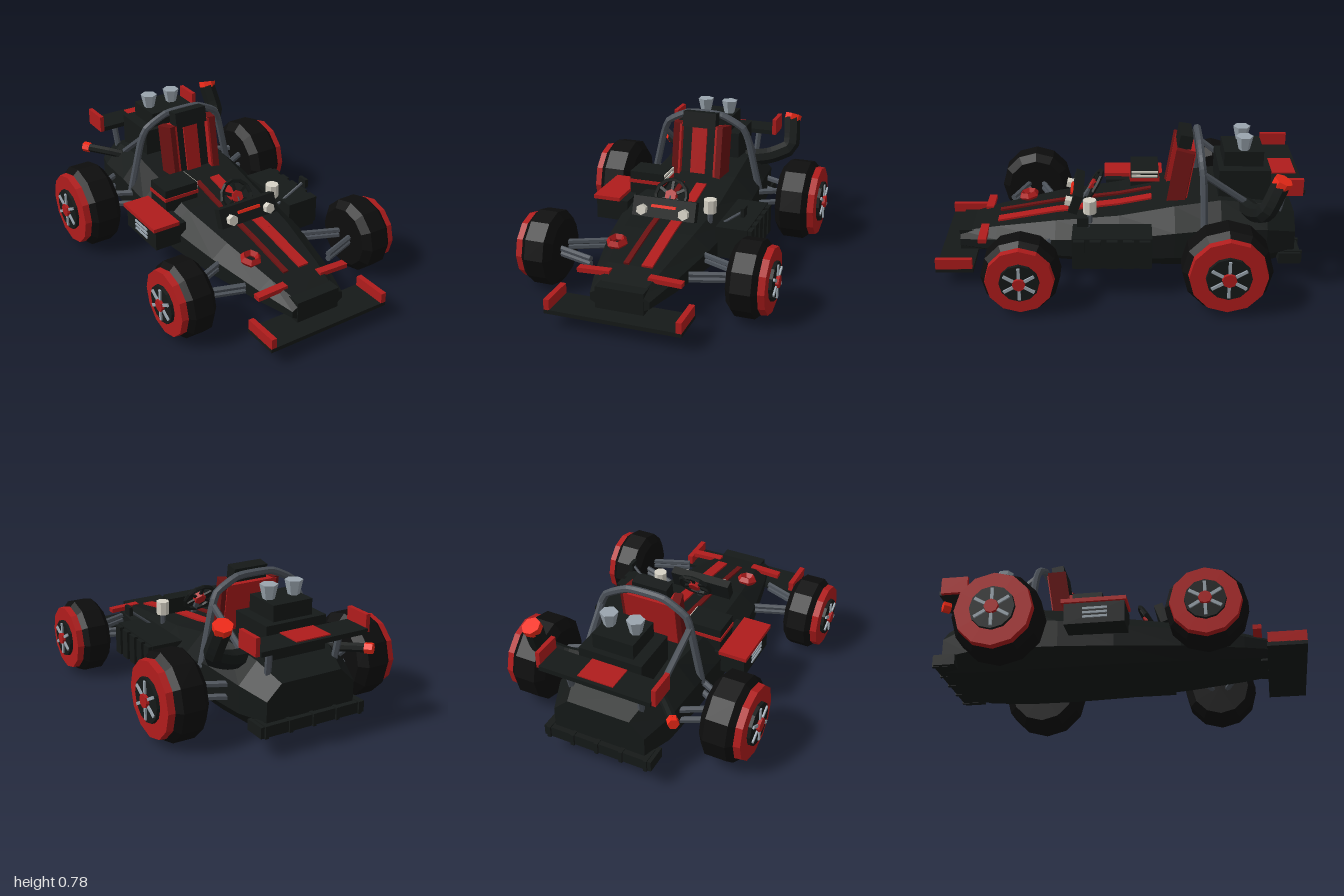
import * as THREE from 'three';

const mat = (color) => new THREE.MeshStandardMaterial({ color, flatShading: true });
const BLACK = mat(0x151918), TYRE = mat(0x0d0d0d), RED = mat(0xb01c1c), DARKRED = mat(0x6a1212);
const GLOW = mat(0xf02a18), STEEL = mat(0x4a5058), SILVER = mat(0x9aa5ae), CREAM = mat(0xd6d2c6);
const V = (p) => new THREE.Vector3(...p);

export function createModel() {
  const car = new THREE.Group();
  car.name = 'buggy';

  const add = (name, geo, m, pos = [0, 0, 0], rot = [0, 0, 0], parent = car) => {
    const mesh = new THREE.Mesh(geo, m);
    mesh.name = name;
    mesh.position.set(...pos);
    mesh.rotation.set(...rot);
    parent.add(mesh);
    return mesh;
  };
  // Box given by its x, y and z ranges
  const box = (name, m, [x0, x1], [y0, y1], [z0, z1], parent = car) =>
    add(name, new THREE.BoxGeometry(x1 - x0, y1 - y0, z1 - z0), m,
      [(x0 + x1) / 2, (y0 + y1) / 2, (z0 + z1) / 2], [0, 0, 0], parent);
  // Straight rod between two points
  const rod = (name, m, a, b, r0, r1 = r0, sides = 6) => {
    const d = V(b).sub(V(a));
    const mesh = add(name, new THREE.CylinderGeometry(r1, r0, d.length(), sides), m,
      V(a).add(V(b)).multiplyScalar(0.5).toArray());
    mesh.quaternion.setFromUnitVectors(new THREE.Vector3(0, 1, 0), d.normalize());
    return mesh;
  };
  const tube = (name, m, pts, r, segs = 14) => add(name, new THREE.TubeGeometry(
    new THREE.CatmullRomCurve3(pts.map(V), false, 'catmullrom', 0.25), segs, r, 7), m);

  // Body lofted from eight-sided sections: z, half width, bottom, top
  const sections = [
    [0.89, 0.16, 0.12, 0.205], [0.68, 0.22, 0.105, 0.255], [0.35, 0.29, 0.09, 0.315],
    [0, 0.335, 0.08, 0.36], [-0.3, 0.345, 0.075, 0.42], [-0.55, 0.34, 0.075, 0.455],
    [-0.8, 0.32, 0.085, 0.43], [-0.96, 0.26, 0.11, 0.36],
  ];
  const pos = [], idx = [];
  for (const [z, w, b, t] of sections) {
    const h = t - b;
    for (const [x, y] of [[-0.75, 0], [0.75, 0], [1, 0.25], [1, 0.68], [0.68, 1], [-0.68, 1], [-1, 0.68], [-1, 0.25]])
      pos.push(x * w, b + y * h, z);
  }
  const last = (sections.length - 1) * 8;
  for (let j = 0; j < 8; j++) {
    const k = (j + 1) % 8;
    for (let i = 0; i < last; i += 8) idx.push(i + j, i + 8 + j, i + k, i + k, i + 8 + j, i + 8 + k);
    if (j > 0 && j < 7) idx.push(0, j, k, last, last + k, last + j);
  }
  const bodyGeo = new THREE.BufferGeometry();
  bodyGeo.setAttribute('position', new THREE.Float32BufferAttribute(pos, 3));
  bodyGeo.setIndex(idx);
  bodyGeo.computeVertexNormals();
  add('body', bodyGeo, BLACK);

  // Stripes laid along the sloping deck
  const deck = [[0.68, 0.26], [0.35, 0.32], [0, 0.365], [-0.18, 0.4]];
  for (const [x, w, m] of [[0.065, 0.06, RED], [-0.05, 0.03, DARKRED]])
    for (let i = 0; i < 3; i++) {
      const [z0, y0] = deck[i], [z1, y1] = deck[i + 1];
      add('stripe', new THREE.BoxGeometry(w, 0.012, Math.hypot(z0 - z1, y1 - y0)), m,
        [x, (y0 + y1) / 2, (z0 + z1) / 2], [Math.atan2(y1 - y0, z0 - z1), 0, 0]);
    }
  const cap = add('fillerRing', new THREE.TorusGeometry(0.043, 0.018, 4, 6), RED, [-0.165, 0.3, 0.525], [-Math.PI / 2 + 0.17, 0, 0]);
  cap.scale.z = 1.4;

  // Wheels: faceted tyre, disc, hub with six spokes
  const wheel = (name, side, z, R, x0, x1) => {
    const g = new THREE.Group();
    g.name = name;
    g.position.set(side * (x0 + x1) / 2, R, z);
    g.rotation.y = side > 0 ? 0 : Math.PI;
    const h = (x1 - x0) / 2, turn = [0, 0, -Math.PI / 2];
    const profile = [[0, -h], [R * 0.8, -h], [R, -h * 0.6], [R, h * 0.6], [R * 0.84, h], [0, h]];
    add('tyre', new THREE.LatheGeometry(profile.map((p) => new THREE.Vector2(...p)), 12), TYRE, [0, 0, 0], turn, g);
    const disc = (n, r, from, to, m, s = 12) =>
      add(n, new THREE.CylinderGeometry(r, r * 1.02, to - from, s), m, [h + (from + to) / 2, 0, 0], turn, g);
    disc('rim', R * 0.86, -0.01, 0.028, RED);
    disc('hub', R * 0.5, 0.02, 0.045, BLACK);
    disc('hubCap', R * 0.16, 0.04, 0.062, RED, 8);
    for (let i = 0; i < 6; i++) {
      const a = (i * Math.PI) / 3;
      add('spoke', new THREE.BoxGeometry(0.014, R * 0.28, 0.016), SILVER,
        [h + 0.047, Math.cos(a) * R * 0.3, Math.sin(a) * R * 0.3], [a, 0, 0], g);
    }
    car.add(g);
  };

  for (const s of [-1, 1]) {
    wheel('frontWheel', s, 0.51, 0.207, 0.477, 0.655);
    wheel('rearWheel', s, -0.56, 0.236, 0.457, 0.66);
    // Suspension arms
    for (const y of [0.2, 0.23]) {
      rod('frontArm', STEEL, [s * 0.27, y, 0.38], [s * 0.52, y - 0.005, 0.48], 0.016);
      rod('frontArm', STEEL, [s * 0.27, y, 0.63], [s * 0.52, y - 0.005, 0.54], 0.016);
    }
    for (const y of [0.22, 0.29]) {
      rod('rearArm', STEEL, [s * 0.29, y, -0.71], [s * 0.5, y, -0.6], 0.018);
      rod('rearArm', STEEL, [s * 0.29, y, -0.42], [s * 0.5, y, -0.53], 0.018);
    }
    // Wing end plates, nose fins and wing struts
    box('frontEndPlate', RED, [s * 0.35 - 0.015, s * 0.35 + 0.015], [0.1, 0.158], [0.8, 1]);
    box('rearEndPlate', RED, [s * 0.323 - 0.012, s * 0.323 + 0.012], [0.53, 0.625], [-0.97, -0.82]);
    add('noseFin', new THREE.BoxGeometry(0.18, 0.025, 0.045), RED, [s * 0.195, 0.233, 0.75], [0, 0, -s * 0.04]);
    rod('wingStrut', STEEL, [s * 0.2, 0.38, -0.87], [s * 0.21, 0.55, -0.9], 0.018);
    // Roll cage stays
    rod('cageStay', STEEL, [s * 0.26, 0.62, -0.45], [s * 0.23, 0.42, -0.72], 0.018);
    // Intake funnels
    add('intake', new THREE.CylinderGeometry(0.048, 0.03, 0.08, 6), SILVER, [s * 0.075, 0.727, -0.68]);
    // Headlights
    add('headlight', new THREE.CylinderGeometry(0.03, 0.03, 0.05, 6), CREAM, [s * 0.12, 0.395, 0.275], [Math.PI / 2 - 0.2, 0, 0]);
  }
  tube('rollHoop', STEEL, [[-0.335, 0.3, -0.46], [-0.3, 0.45, -0.455], [-0.265, 0.6, -0.45], [-0.23, 0.68, -0.44],
    [-0.1, 0.745, -0.435], [0.1, 0.745, -0.435], [0.23, 0.68, -0.44], [0.265, 0.6, -0.45], [0.3, 0.45, -0.455],
    [0.335, 0.3, -0.46]], 0.021, 36);

  // Wings, nose and rear bumper
  box('frontWing', BLACK, [-0.365, 0.365], [0.08, 0.102], [0.795, 1]);
  box('noseBlock', BLACK, [-0.13, 0.13], [0.1, 0.22], [0.76, 0.895]);
  box('rearWing', BLACK, [-0.312, 0.312], [0.53, 0.556], [-0.985, -0.82]);
  box('rearWingStripe', RED, [-0.1, 0.1], [0.55, 0.562], [-0.965, -0.815]);
  box('rearBumper', BLACK, [-0.31, 0.31], [0.11, 0.17], [-0.99, -0.87]);
  for (let i = -2; i <= 2; i++) box('bumperRib', BLACK, [i * 0.14 - 0.01, i * 0.14 + 0.01], [0.108, 0.175], [-1, -0.9]);

  // Engine
  box('engineBlock', BLACK, [-0.178, 0.178], [0.42, 0.605], [-0.82, -0.54]);
  box('airBox', BLACK, [-0.115, 0.115], [0.6, 0.69], [-0.785, -0.57]);

  // Exhausts: large one on the left, small one on the right
  tube('largeExhaust', BLACK, [[0.19, 0.41, -0.68], [0.33, 0.43, -0.72], [0.44, 0.48, -0.76], [0.445, 0.54, -0.79],
    [0.43, 0.65, -0.835]], 0.05);
  rod('largeExhaustTip', GLOW, [0.432, 0.635, -0.83], [0.437, 0.67, -0.845], 0.05, 0.052, 7);
  tube('smallExhaust', BLACK, [[-0.2, 0.38, -0.7], [-0.3, 0.4, -0.8], [-0.39, 0.41, -0.9]], 0.025, 6);
  rod('smallExhaustTip', GLOW, [-0.38, 0.408, -0.89], [-0.405, 0.411, -0.925], 0.03);

  // Seat leaning back
  const seat = new THREE.Group();
  seat.name = 'seat';
  seat.position.set(0, 0.33, -0.3);
  seat.rotation.x = -0.16;
  car.add(seat);
  box('seatBack', RED, [-0.15, 0.15], [0, 0.375], [-0.055, -0.01], seat);
  box('seatPad', BLACK, [-0.11, 0.11], [0, 0.37], [-0.02, 0.01], seat);
  box('seatStripe', RED, [-0.045, 0.045], [0, 0.36], [0, 0.02], seat);
  for (const s of [-1, 1]) {
    add('bolster', new THREE.BoxGeometry(0.045, 0.38, 0.1), DARKRED, [s * 0.14, 0.19, 0], [0, s * -0.25, 0], seat);
    box('bolsterEdge', RED, [s * 0.112 - 0.01, s * 0.112 + 0.01], [0, 0.375], [0, 0.045], seat);
  }
  box('headrest', BLACK, [-0.1, 0.1], [0.36, 0.45], [-0.03, 0.04], seat);

  // Dash bar, steering wheel and column
  add('dashBar', new THREE.BoxGeometry(0.36, 0.11, 0.05), BLACK, [0, 0.4, 0.24], [-0.35, 0, 0]);
  add('lightStrip', new THREE.BoxGeometry(0.14, 0.016, 0.02), GLOW, [0, 0.418, 0.262], [-0.35, 0, 0]);
  add('steeringWheel', new THREE.TorusGeometry(0.092, 0.012, 5, 12), BLACK, [0, 0.44, 0.145], [-0.55, 0, 0]);
  for (let i = 0; i < 3; i++)
    add('wheelSpoke', new THREE.BoxGeometry(0.016, 0.18, 0.012).translate(0, 0, 0), BLACK, [0, 0.44, 0.145], [-0.55, 0, i * Math.PI / 3]);
  add('steeringHub', new THREE.CylinderGeometry(0.035, 0.035, 0.035, 6), RED, [0, 0.44, 0.145], [Math.PI / 2 - 0.55, 0, 0]);
  rod('steeringColumn', STEEL, [0, 0.44, 0.15], [0, 0.33, 0.22], 0.016);

  // Lamp and mirror on the left
  add('lamp', new THREE.CylinderGeometry(0.037, 0.037, 0.075, 8), CREAM, [0.23, 0.418, 0.16]);
  rod('lampStand', STEEL, [0.23, 0.32, 0.16], [0.23, 0.4, 0.16], 0.015);
  rod('mirrorArm', STEEL, [0.28, 0.31, 0.155], [0.42, 0.42, 0.19], 0.008);
  box('mirror', BLACK, [0.418, 0.438], [0.4, 0.45], [0.16, 0.22]);

  // Left ribbed side pod
  box('leftPod', BLACK, [0.29, 0.465], [0.165, 0.34], [-0.175, 0.25]);
  for (let i = 0; i < 5; i++) {
    const z = -0.165 + i * 0.087;
    box('podRib', BLACK, [0.46, 0.488], [0.175, 0.335], [z, z + 0.058]);
  }

  // Right side pod with red lid and grille
  box('rightPod', BLACK, [-0.48, -0.29], [0.22, 0.34], [-0.24, 0.08]);
  box('podLid', RED, [-0.495, -0.335], [0.338, 0.36], [-0.255, 0.09]);
  for (let i = 0; i < 3; i++) box('podGrille', SILVER, [-0.487, -0.478], [0.25 + i * 0.024, 0.262 + i * 0.024], [-0.14, -0.01]);

  // Control box with pale panel on its inner face
  box('controlBox', BLACK, [-0.33, -0.125], [0.33, 0.472], [-0.225, -0.065]);
  box('controlTrim', RED, [-0.335, -0.121], [0.405, 0.425], [-0.23, -0.06]);
  for (const y of [0.432, 0.455]) box('controlPanel', CREAM, [-0.13, -0.118], [y, y + 0.013], [-0.22, -0.07]);

  return car;
}
